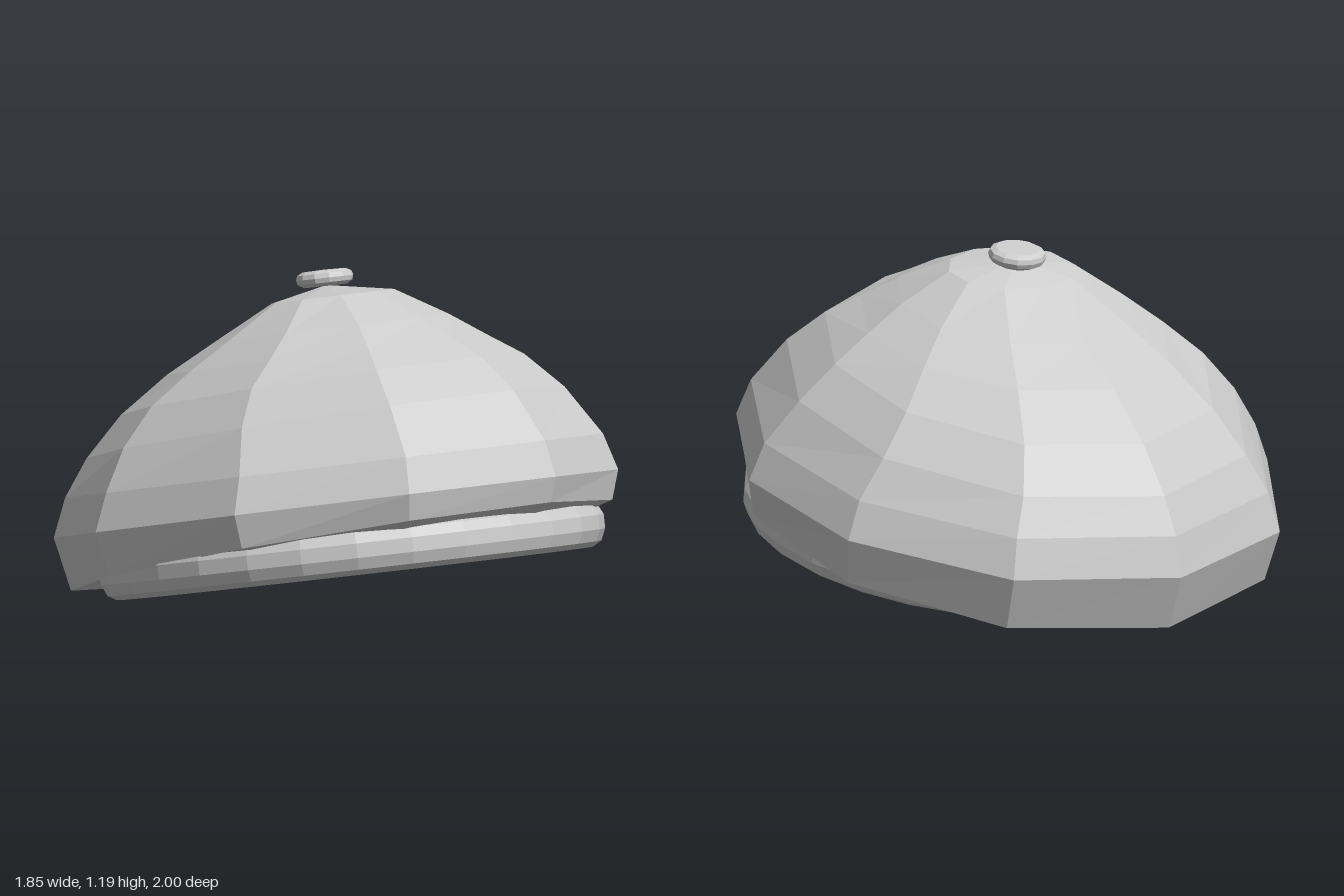
import * as THREE from 'three';

const TILT = -0.175; // the whole cap leans back, front edge raised

const flatGrey = () => new THREE.MeshStandardMaterial({ color: 0xcccccc, flatShading: true, side: THREE.DoubleSide });

// Crown rings, bottom to top: front z, front y, back z, back y, half width
const RINGS = [
  [0.88, 0.43, -0.70, 0.11, 0.81],
  [0.98, 0.49, -0.92, 0.01, 0.90],
  [1.00, 0.58, -1.00, 0.20, 0.93],
  [0.95, 0.70, -0.97, 0.34, 0.88],
  [0.80, 0.86, -0.91, 0.47, 0.78],
  [0.65, 0.96, -0.79, 0.63, 0.66],
  [0.52, 1.01, -0.61, 0.79, 0.53],
  [0.38, 1.07, -0.42, 0.92, 0.40],
  [0.17, 1.14, -0.20, 1.07, 0.23],
];
// Slightly uneven directions of the ten panel seams
const SEAMS = [9, 44, 79, 112, 148, 185, 222, 260, 297, 333];

function crownGeometry() {
  const pos = [], idx = [], n = SEAMS.length;
  for (const [fz, fy, bz, by, hw] of RINGS) {
    for (const deg of SEAMS) {
      const a = THREE.MathUtils.degToRad(deg);
      const s = Math.sin(a) * 1.01, c = Math.cos(a) * 1.01;
      pos.push(hw * s, (fy + by) / 2 + c * (fy - by) / 2, (fz + bz) / 2 + c * (fz - bz) / 2);
    }
  }
  for (let r = 0; r < RINGS.length - 1; r++) {
    for (let i = 0; i < n; i++) {
      const a = r * n + i, b = r * n + (i + 1) % n;
      idx.push(a, b, b + n, a, b + n, a + n);
    }
  }
  // Cap the top with a fan
  const apex = pos.length / 3, top = (RINGS.length - 1) * n;
  pos.push(0, 1.14, -0.05);
  for (let i = 0; i < n; i++) idx.push(top + i, top + (i + 1) % n, apex);
  const g = new THREE.BufferGeometry();
  g.setAttribute('position', new THREE.Float32BufferAttribute(pos, 3));
  g.setIndex(idx);
  g.computeVertexNormals();
  return g;
}

function lathe(points, sides) {
  return new THREE.LatheGeometry(points.map(([x, y]) => new THREE.Vector2(x, y)), sides);
}

export function createModel() {
  const cap = new THREE.Group();
  cap.name = 'cap';

  const add = (name, geometry, x = 0, y = 0, z = 0, tilt = 0) => {
    const mesh = new THREE.Mesh(geometry, flatGrey());
    mesh.name = name;
    mesh.position.set(x, y, z);
    mesh.rotation.x = tilt;
    cap.add(mesh);
  };

  // Panelled, puffed crown
  add('crown', crownGeometry());

  // Rolled headband with a rounded section
  add('headband', lathe([
    [0.79, -0.065], [0.82, -0.078], [0.85, -0.06], [0.868, -0.02], [0.868, 0.03],
    [0.85, 0.065], [0.82, 0.078], [0.79, 0.06], [0.77, 0.02], [0.77, -0.03], [0.79, -0.065],
  ], 28), 0, 0.237, 0.09, TILT);

  // Small button on top
  add('topButton', lathe([
    [0, -0.028], [0.075, -0.028], [0.095, -0.016], [0.1, 0], [0.095, 0.016], [0.075, 0.026], [0, 0.028],
  ], 12), 0.01, 1.162, -0.07, TILT);

  return cap;
}
